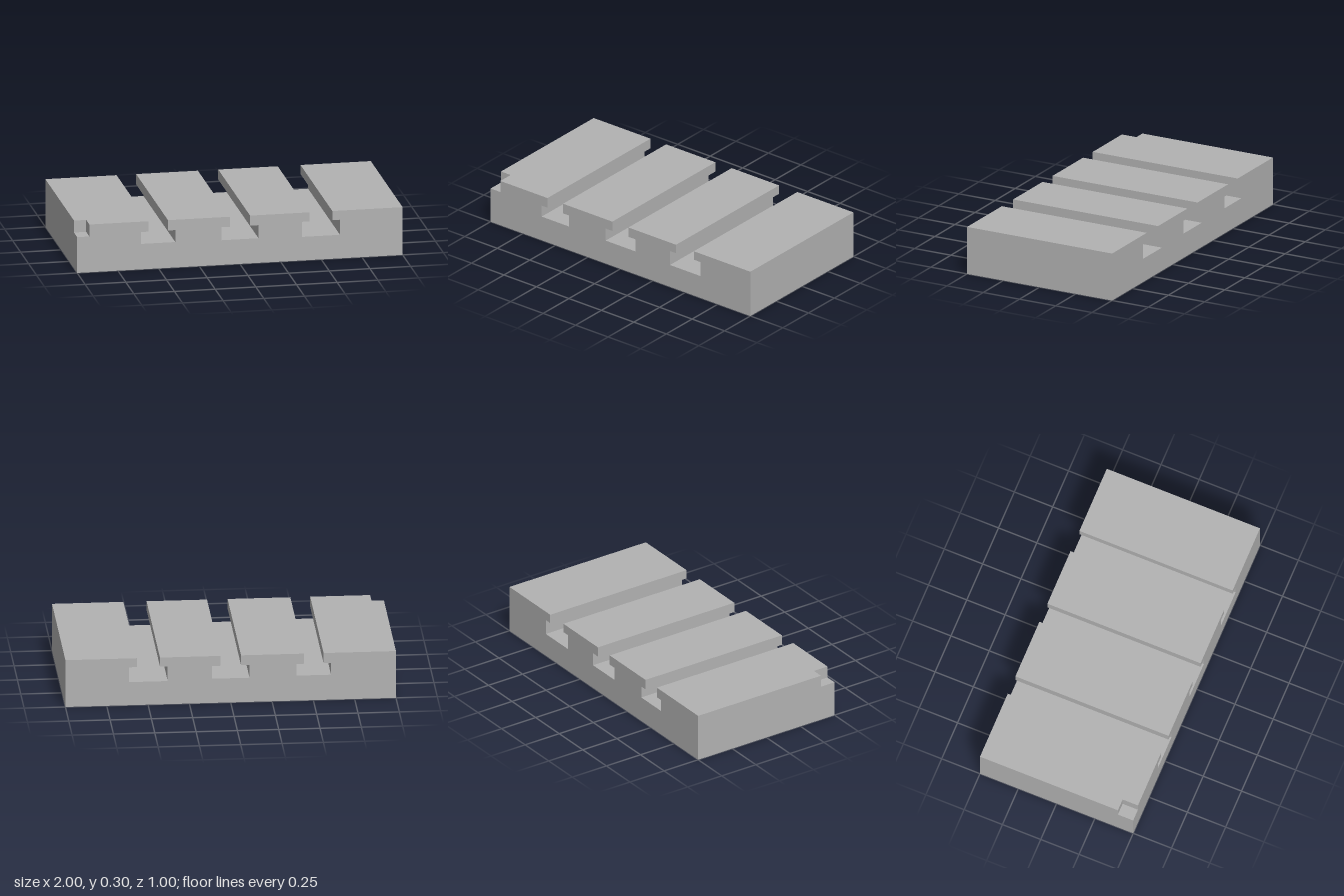
import * as THREE from 'three';
import { mergeGeometries } from 'three/addons/utils/BufferGeometryUtils.js';

const H = 0.3, BACK = -0.5, STEP = 0.4, FRONT = 0.5;
const NOTCH_X = -0.925, NOTCH_Y = 0.225;

// T-slots, listed from +x to -x
const SLOTS = [
  { x: 0.498, neck: 0.07, wide: 0.117, ledge: 0.243, floor: 0.148 },
  { x: 0, neck: 0.0625, wide: 0.114, ledge: 0.237, floor: 0.155 },
  { x: -0.502, neck: 0.06, wide: 0.105, ledge: 0.235, floor: 0.16 },
];

// Counter-clockwise cross-section; the corner point sets whether it is notched
function profile(corner) {
  const pts = [[-1, 0], [1, 0], [1, H]];
  for (const { x, neck, wide, ledge, floor } of SLOTS) {
    pts.push(
      [x + neck, H], [x + neck, ledge], [x + wide, ledge], [x + wide, floor],
      [x - wide, floor], [x - wide, ledge], [x - neck, ledge], [x - neck, H]);
  }
  pts.push([NOTCH_X, H], corner, [-1, NOTCH_Y]);
  return pts.map(([x, y]) => new THREE.Vector2(x, y));
}

// Flat walls swept along z between z0 and z1
function walls(pts, z0, z1) {
  const pos = [];
  pts.forEach((a, i) => {
    const b = pts[(i + 1) % pts.length];
    pos.push(a.x, a.y, z0, b.x, b.y, z0, b.x, b.y, z1);
    pos.push(a.x, a.y, z0, b.x, b.y, z1, a.x, a.y, z1);
  });
  const g = new THREE.BufferGeometry();
  g.setAttribute('position', new THREE.Float32BufferAttribute(pos, 3));
  g.computeVertexNormals();
  return g;
}

// End face at z, facing +z or -z
function cap(pts, z, facing) {
  const outline = facing > 0 ? pts : pts.map(p => new THREE.Vector2(-p.x, p.y));
  const g = new THREE.ShapeGeometry(new THREE.Shape(outline)).toNonIndexed();
  g.deleteAttribute('uv');
  if (facing < 0) g.rotateY(Math.PI);
  return g.translate(0, 0, z);
}

export function createModel() {
  const grey = new THREE.MeshStandardMaterial({ color: 0xb2b2b2 });
  grey.name = 'plain grey';

  const full = profile([-1, H]);
  const notched = profile([NOTCH_X, NOTCH_Y]);
  const notchFace = [[-1, NOTCH_Y], [NOTCH_X, NOTCH_Y], [NOTCH_X, H], [-1, H]]
    .map(([x, y]) => new THREE.Vector2(x, y));

  // Slotted block with a stepped front corner, one closed skin
  const geometry = mergeGeometries([
    walls(full, BACK, STEP),
    walls(notched, STEP, FRONT),
    cap(full, BACK, -1),
    cap(notched, FRONT, 1),
    cap(notchFace, STEP, 1),
  ]);
  const plate = new THREE.Mesh(geometry, grey);
  plate.name = 'slottedPlate';

  const group = new THREE.Group();
  group.name = 'tSlotTable';
  group.add(plate);
  return group;
}
